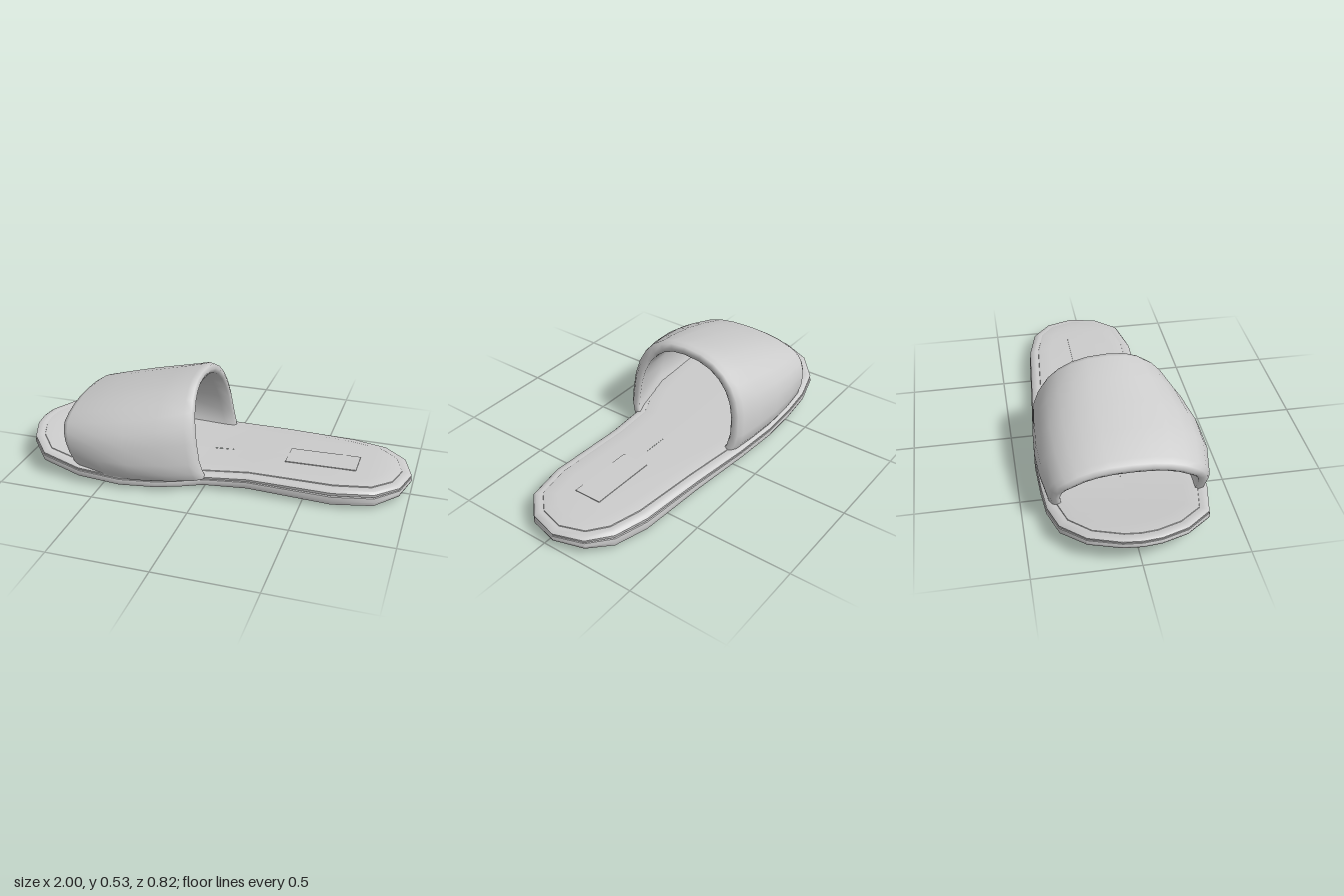
import * as THREE from 'three';
import { toCreasedNormals } from 'three/addons/utils/BufferGeometryUtils.js';

const material = new THREE.MeshStandardMaterial({ color: 0xcccccc });
const thinMaterial = new THREE.MeshStandardMaterial({ color: 0xcccccc, side: THREE.DoubleSide });

// Sole outline as [x, z], toe at -x, running along the -z side to the heel and back
const outline = [
  [-1, 0], [-0.99, -0.09], [-0.93, -0.24], [-0.81, -0.35], [-0.66, -0.39], [-0.5, -0.4], [-0.3, -0.405],
  [-0.04, -0.39], [0.3, -0.362], [0.66, -0.335], [0.84, -0.29], [0.95, -0.2], [1, -0.05],
  [0.96, 0.1], [0.85, 0.21], [0.65, 0.25], [0.22, 0.24], [0, 0.262], [-0.1, 0.31], [-0.22, 0.355],
  [-0.4, 0.385], [-0.62, 0.39], [-0.83, 0.345], [-0.94, 0.22], [-0.99, 0.09],
];

// Side profile as [x, underside height, top height]
const profile = [
  [-1, 0.1, 0.162], [-0.8, 0.055, 0.13], [-0.6, 0.025, 0.1], [-0.4, 0.01, 0.085], [0, 0.01, 0.085],
  [0.2, 0.015, 0.098], [0.45, 0.008, 0.103], [0.7, 0, 0.108], [0.85, 0.008, 0.108], [1, 0.03, 0.096],
];

function heights(x) {
  let i = 1;
  while (i < profile.length - 1 && x > profile[i][0]) i++;
  const [a, b] = [profile[i - 1], profile[i]];
  const t = THREE.MathUtils.clamp((x - a[0]) / (b[0] - a[0]), 0, 1);
  return [a[1] + (b[1] - a[1]) * t, a[2] + (b[2] - a[2]) * t];
}

// Moves an outline corner inwards along its averaged edge normal
function inset(i, d) {
  const n = outline.length;
  const p = outline[(i + n - 1) % n], q = outline[(i + 1) % n];
  const dx = q[0] - p[0], dz = q[1] - p[1], len = Math.hypot(dx, dz);
  return [outline[i][0] - (dz / len) * d, outline[i][1] + (dx / len) * d];
}

// Point on the lengthwise centre line nearest an outline corner
function spine(i) {
  const x = THREE.MathUtils.clamp(outline[i][0], -0.8, 0.8);
  return [x, -0.025 - 0.025 * x];
}

function gridGeometry(positions, index) {
  const g = new THREE.BufferGeometry();
  g.setAttribute('position', new THREE.Float32BufferAttribute(positions, 3));
  g.setIndex(index);
  g.computeVertexNormals();
  return g;
}

// Skins rings given as [inset, height fraction, lift]; inset null means the centre line
function ringSkin(rings) {
  const n = outline.length, positions = [], index = [];
  rings.forEach(([d, t, lift]) => {
    for (let i = 0; i < n; i++) {
      const [x, z] = d === null ? spine(i) : inset(i, d);
      const [lo, hi] = heights(x);
      positions.push(x, lo + (hi - lo) * t + lift, z);
    }
  });
  for (let r = 0; r < rings.length - 1; r++) {
    for (let i = 0; i < n; i++) {
      const a = r * n + i, b = r * n + (i + 1) % n, c = a + n, d = b + n;
      index.push(a, c, b, b, c, d);
    }
  }
  return toCreasedNormals(gridGeometry(positions, index), 0.75);
}

// Quadratic through values at the front, middle and back of the strap
function blend(s, a, b, c) {
  return a * (1 - s) * (1 - 2 * s) + b * 4 * s * (1 - s) + c * s * (2 * s - 1);
}

function strapGeometry() {
  // Padded cross-section: [front-to-back fraction, depth below the outer surface]
  const section = [
    [0, 0.03], [0.012, 0.01], [0.05, 0], [0.28, -0.003], [0.5, -0.003], [0.75, 0], [0.94, 0], [0.985, 0.012],
    [1, 0.035], [0.985, 0.055], [0.9, 0.06], [0.5, 0.06], [0.1, 0.06], [0.012, 0.052],
  ];
  const steps = 18, tuck = 0.45, m = section.length;
  const positions = [], index = [];
  const power = (v) => Math.sign(v) * Math.abs(v) ** 0.85;
  for (let j = 0; j <= steps; j++) {
    const a = -tuck + (Math.PI + 2 * tuck) * j / steps;
    const c = power(Math.cos(a)), h = power(Math.sin(a));
    const up = (h + 0.49) / 1.49;
    const front = -0.64 - 0.09 * Math.min(1, up * 1.3);
    const back = 0.012 - 0.08 * up;
    for (const [s, depth] of section) {
      const half = c > 0 ? blend(s, 0.375, 0.408, 0.3) : blend(s, 0.375, 0.405, 0.38);
      const rise = h > 0 ? 0.195 + 0.185 * s - depth : 0.2;
      positions.push(front + (back - front) * s, 0.16 + rise * h, c * (half - depth));
    }
  }
  for (let j = 0; j < steps; j++) {
    for (let i = 0; i < m; i++) {
      const a = j * m + i, b = j * m + (i + 1) % m, c = a + m, d = b + m;
      index.push(a, b, c, b, d, c);
    }
  }
  return gridGeometry(positions, index);
}

export function createModel() {
  const group = new THREE.Group();
  const add = (name, geometry, mat = material) => {
    const mesh = new THREE.Mesh(geometry, mat);
    mesh.name = name;
    group.add(mesh);
    return mesh;
  };

  // Outsole with a rounded lower edge
  add('outsole', ringSkin([
    [null, 0, 0], [0.1, 0, 0], [0.03, 0.04, 0], [0.006, 0.16, 0], [0, 0.35, 0], [0.004, 0.56, 0], [0.02, 0.6, 0],
  ]));

  // Midsole band above the seam, rolling over onto the top
  add('midsole', ringSkin([
    [0.02, 0.58, 0], [0.006, 0.62, 0], [0.004, 0.76, 0], [0.014, 0.88, 0], [0.035, 0.92, 0], [0.055, 0.9, 0],
  ]));

  // Footbed set inside the rim
  add('footbed', ringSkin([
    [0.05, 0.86, 0], [0.053, 0.95, 0], [0.065, 0.98, 0], [0.12, 1, 0], [null, 1, 0.002],
  ]));

  // Padded strap over the foot
  add('strap', strapGeometry(), thinMaterial);

  // Blank raised patch on the heel
  const patch = add('heelPatch', new THREE.BoxGeometry(0.36, 0.008, 0.145));
  patch.position.set(0.55, 0.106, -0.03);
  patch.rotation.z = 0.018;

  return group;
}
